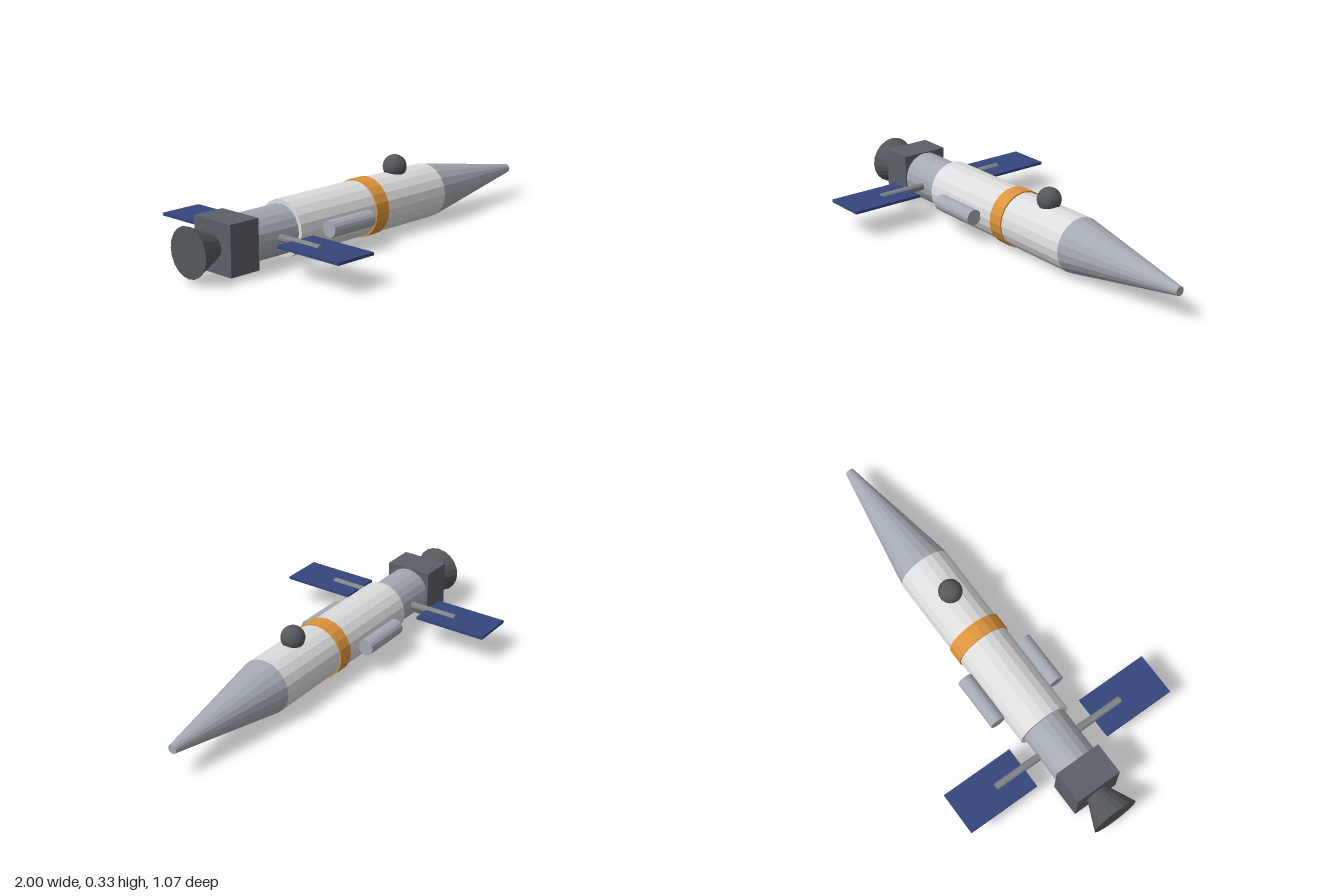
import * as THREE from 'three';

const mat = (name, color) => {
  const m = new THREE.MeshStandardMaterial({ color, flatShading: true });
  m.name = name;
  return m;
};

export function createModel() {
  const white = mat('hull white', 0xdcdcdc);
  const grey = mat('blue grey', 0xa4aab3);
  const boxGrey = mat('engine grey', 0x5c5f68);
  const dark = mat('dark grey', 0x55585c);
  const strut = mat('strut grey', 0x808488);
  const orange = mat('band orange', 0xdc943c);
  const navy = mat('panel blue', 0x36467c);

  const axisY = 0.132;
  const model = new THREE.Group();
  model.name = 'spacecraft';

  const add = (name, geometry, material, x, y = axisY, z = 0) => {
    const mesh = new THREE.Mesh(geometry, material);
    mesh.name = name;
    mesh.position.set(x, y, z);
    model.add(mesh);
    return mesh;
  };
  // Round section lying along x, from x0 (radius r0) to x1 (radius r1)
  const section = (name, x0, x1, r0, r1, material, sides = 20, z = 0) =>
    add(name, new THREE.CylinderGeometry(r1, r0, x1 - x0, sides).rotateZ(-Math.PI / 2),
      material, (x0 + x1) / 2, axisY, z);

  // Hull from tail to nose
  section('nozzle', -1, -0.87, 0.109, 0.05, dark);
  add('engineBlock', new THREE.BoxGeometry(0.15, 0.22, 0.22), boxGrey, -0.8);
  section('rearHull', -0.73, -0.5, 0.107, 0.107, grey);
  section('mainHull', -0.5, 0.4, 0.125, 0.125, white);
  section('noseCone', 0.4, 1, 0.125, 0.02, grey);
  section('band', -0.053, 0.022, 0.131, 0.131, orange);

  // Sensor ball on top
  const ball = dark.clone();
  ball.flatShading = false;
  add('sensorBall', new THREE.SphereGeometry(0.054, 20, 14), ball, 0.197, 0.279);

  // Mirrored side parts
  for (const [side, s] of [['left', 1], ['right', -1]]) {
    section(side + 'Pod', -0.375, -0.13, 0.037, 0.037, grey, 16, s * 0.157);
    add(side + 'Strut', new THREE.CylinderGeometry(0.017, 0.017, 0.25, 10).rotateX(Math.PI / 2),
      strut, -0.6, axisY, s * 0.21);
    add(side + 'Panel', new THREE.BoxGeometry(0.2, 0.0125, 0.345), navy, -0.6, axisY, s * 0.3615);
  }
  return model;
}
